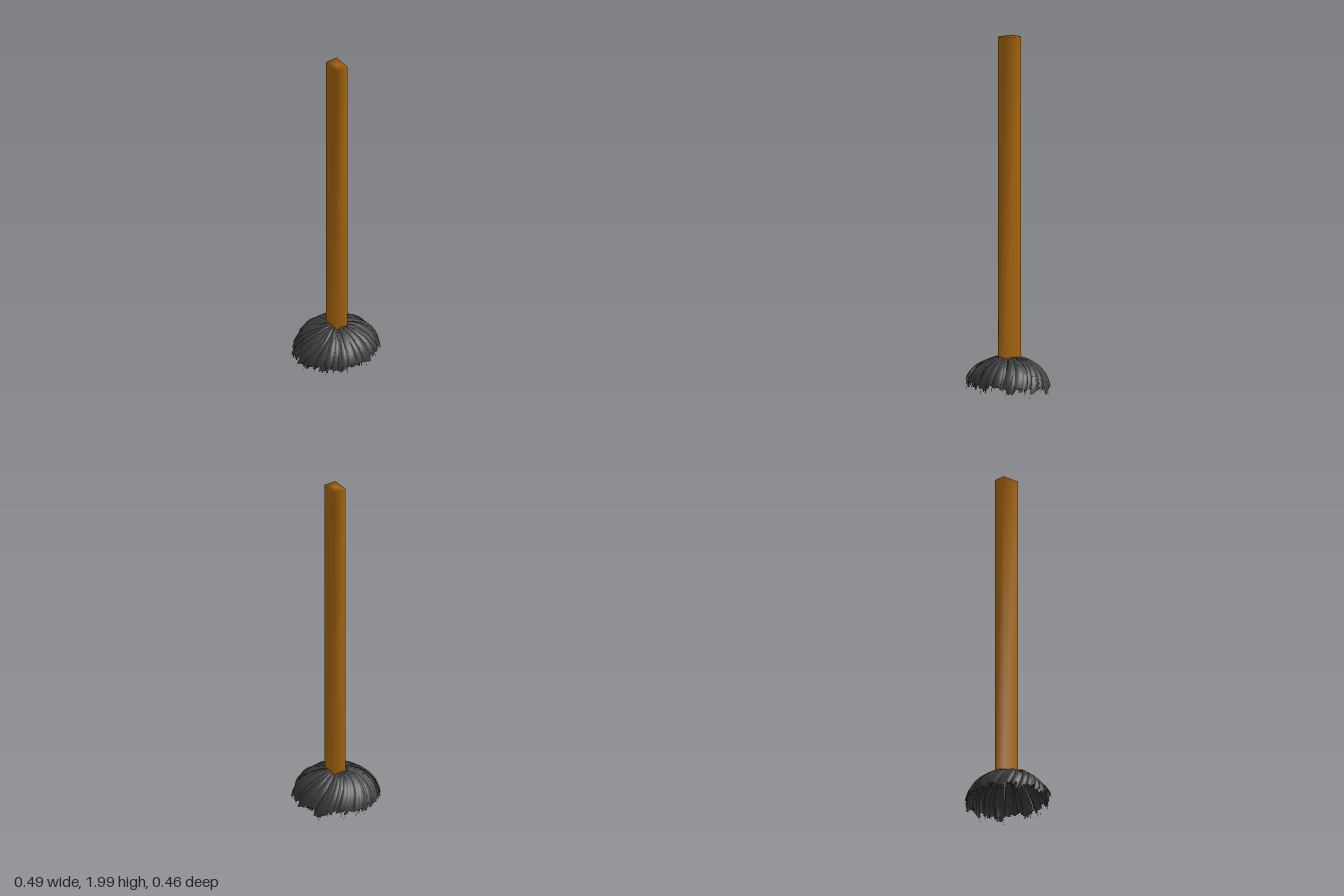
import * as THREE from 'three';
import { mergeGeometries, mergeVertices } from 'three/addons/utils/BufferGeometryUtils.js';

// Small seeded generator so the fibres are always the same
function seeded(seed) {
  return () => {
    seed = (seed * 16807) % 2147483647;
    return seed / 2147483647;
  };
}

const CENTRE_X = 0.01;

// Point on a drooping lock: a = arch angle, s = -1..1 across its width
function lockPoint(lock, a, s) {
  const t = a / 1.5;
  const r = 0.022 + (lock.reach - 0.022) * Math.sin(a) - 0.006 * s * s * t;
  const theta = lock.angle + lock.swirl * (t - 1) + s * lock.spread * (1 + 0.25 * (1 - t));
  const y = lock.low + (lock.top - lock.low) * Math.cos(a) - 0.004 * s * s;
  return [CENTRE_X + r * Math.cos(theta) * 1.02, y, r * Math.sin(theta) * 0.97];
}

// Thin ribbon along the lock between s0 and s1, ending at arch angle aEnd
function ribbon(lock, s0, s1, aEnd) {
  const rows = 11, pos = [], idx = [];
  for (let i = 0; i <= rows; i++) {
    const a = (aEnd * i) / rows;
    pos.push(...lockPoint(lock, a, s0), ...lockPoint(lock, a, s1));
    if (i < rows) {
      const k = i * 2;
      idx.push(k, k + 1, k + 2, k + 1, k + 3, k + 2);
    }
  }
  const g = new THREE.BufferGeometry();
  g.setAttribute('position', new THREE.Float32BufferAttribute(pos, 3));
  g.setIndex(idx);
  g.computeVertexNormals();
  return g;
}

function mopHead() {
  const rnd = seeded(4711), parts = [], locks = 46, strands = 6;
  for (let i = 0; i < locks; i++) {
    const angle = ((i + (rnd() - 0.5) * 0.6) / locks) * Math.PI * 2;
    const front = Math.max(0, Math.sin(angle));
    const lock = {
      angle,
      swirl: 0.5 * (1 - front) + (rnd() - 0.5) * 0.15,
      spread: 0.085 + rnd() * 0.045,
      reach: 0.228 + rnd() * 0.018,
      top: 0.217 + rnd() * 0.008,
      low: 0.022 + 0.025 * front + rnd() * 0.02,
    };
    const end = 1.36 + rnd() * 0.16;
    // Strands of uneven length give the ragged end
    for (let j = 0; j < strands; j++) {
      const s0 = -1 + (2 * j) / strands;
      parts.push(ribbon(lock, s0, s0 + 2 / strands, end + (rnd() - 0.5) * 0.12));
    }
    // Fine loose thread
    const s = rnd() * 1.6 - 0.8;
    parts.push(ribbon(lock, s, s + 0.06, end + 0.1 + rnd() * 0.1));
  }
  return mergeGeometries(parts);
}

export function createModel() {
  const model = new THREE.Group();

  // Square pole with softly blended edges
  let pole = new THREE.CylinderGeometry(Math.SQRT1_2, Math.SQRT1_2, 1, 4);
  pole.rotateY(Math.PI / 4);
  pole.scale(0.073, 1.8, 0.104);
  pole.translate(0.0185, 1.1, -0.002);
  pole.deleteAttribute('normal');
  pole.deleteAttribute('uv');
  pole = mergeVertices(pole);
  pole.computeVertexNormals();
  const handle = new THREE.Mesh(pole, new THREE.MeshStandardMaterial({ color: 0xa8660f }));
  handle.name = 'handle';

  // Arched fibres hanging around the foot of the pole
  const fibres = new THREE.Mesh(
    mopHead(),
    new THREE.MeshStandardMaterial({ color: 0x3c3c3c, side: THREE.DoubleSide })
  );
  fibres.name = 'mopHead';

  model.add(handle, fibres);
  return model;
}
